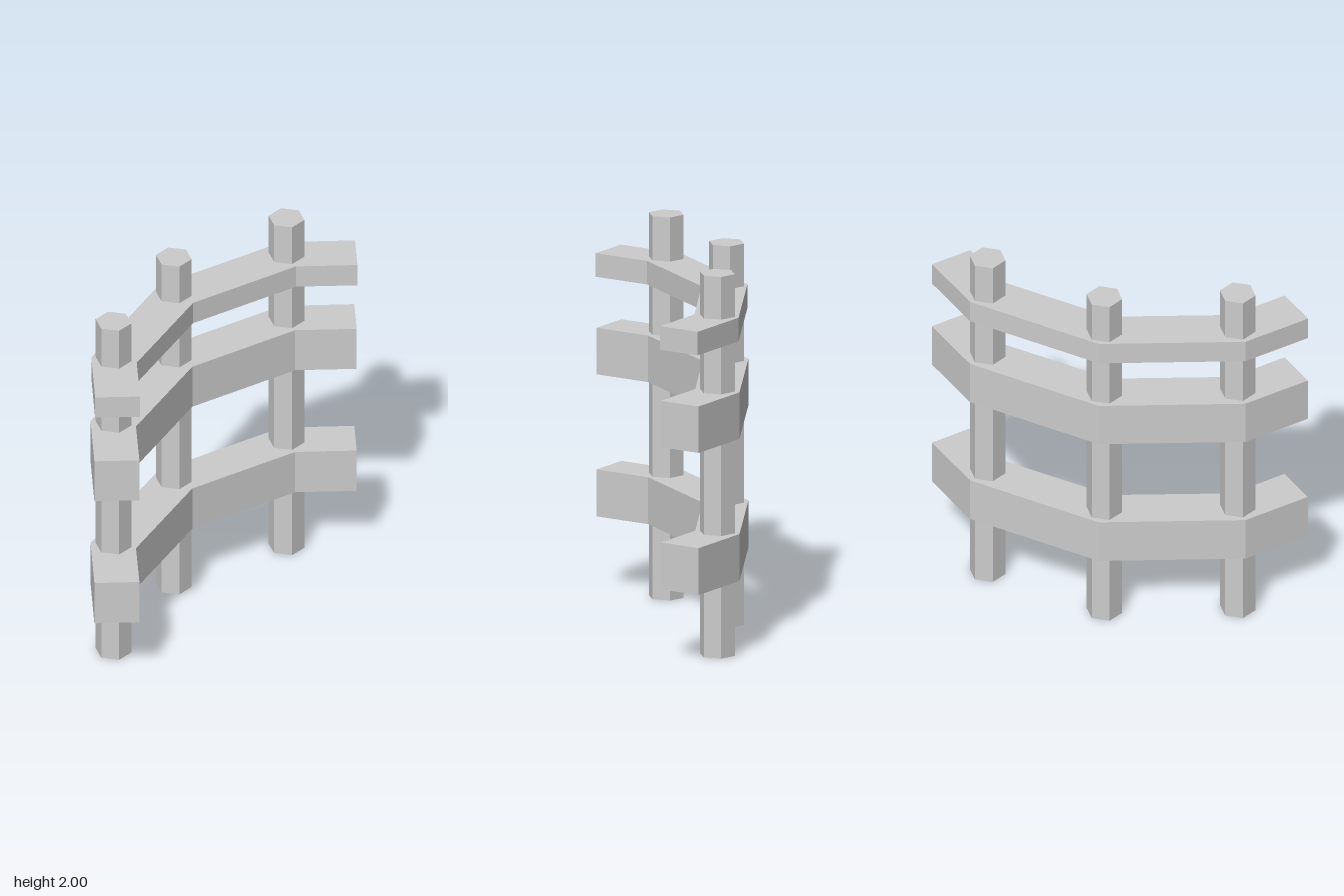
import * as THREE from 'three';

export function createModel() {
  const model = new THREE.Group();
  model.name = 'curvedFence';
  const material = new THREE.MeshStandardMaterial({ color: 0xcccccc, flatShading: true });

  function add(name, geometry, x, y, z) {
    const mesh = new THREE.Mesh(geometry, material);
    mesh.name = name;
    mesh.position.set(x, y, z);
    model.add(mesh);
  }

  // Hexagonal posts with corners pointing sideways
  const posts = [
    ['rightPost', -0.656, -0.02, 2],
    ['middlePost', -0.002, -0.2, 1.993],
    ['leftPost', 0.652, -0.02, 1.993],
  ];
  for (const [name, x, z, height] of posts) {
    add(name, new THREE.CylinderGeometry(0.093, 0.093, height, 6, 1, false, Math.PI / 2), x, height / 2, z);
  }

  // Half outline of a bent rail in plan (x, z), from back ridge to front bend
  const half = [[0.72, -0.12], [0.983, 0.145], [0.822, 0.308], [0.602, 0.085]];
  const outline = [
    [0, -0.313], ...half, [0, -0.075],
    ...half.map(([x, z]) => [-x, z]).reverse(),
  ];
  const plan = new THREE.Shape(outline.map(([x, z]) => new THREE.Vector2(x, -z)));

  // Three rails stacked along the posts: bottom, height, depth offset
  const rails = [
    ['lowerRail', 0.395, 0.245, 0],
    ['middleRail', 1.137, 0.243, 0],
    ['upperRail', 1.647, 0.123, 0.005],
  ];
  for (const [name, y, height, z] of rails) {
    const rail = new THREE.ExtrudeGeometry(plan, { depth: height, bevelEnabled: false });
    rail.rotateX(-Math.PI / 2);
    add(name, rail, 0, y, z);
  }

  return model;
}
